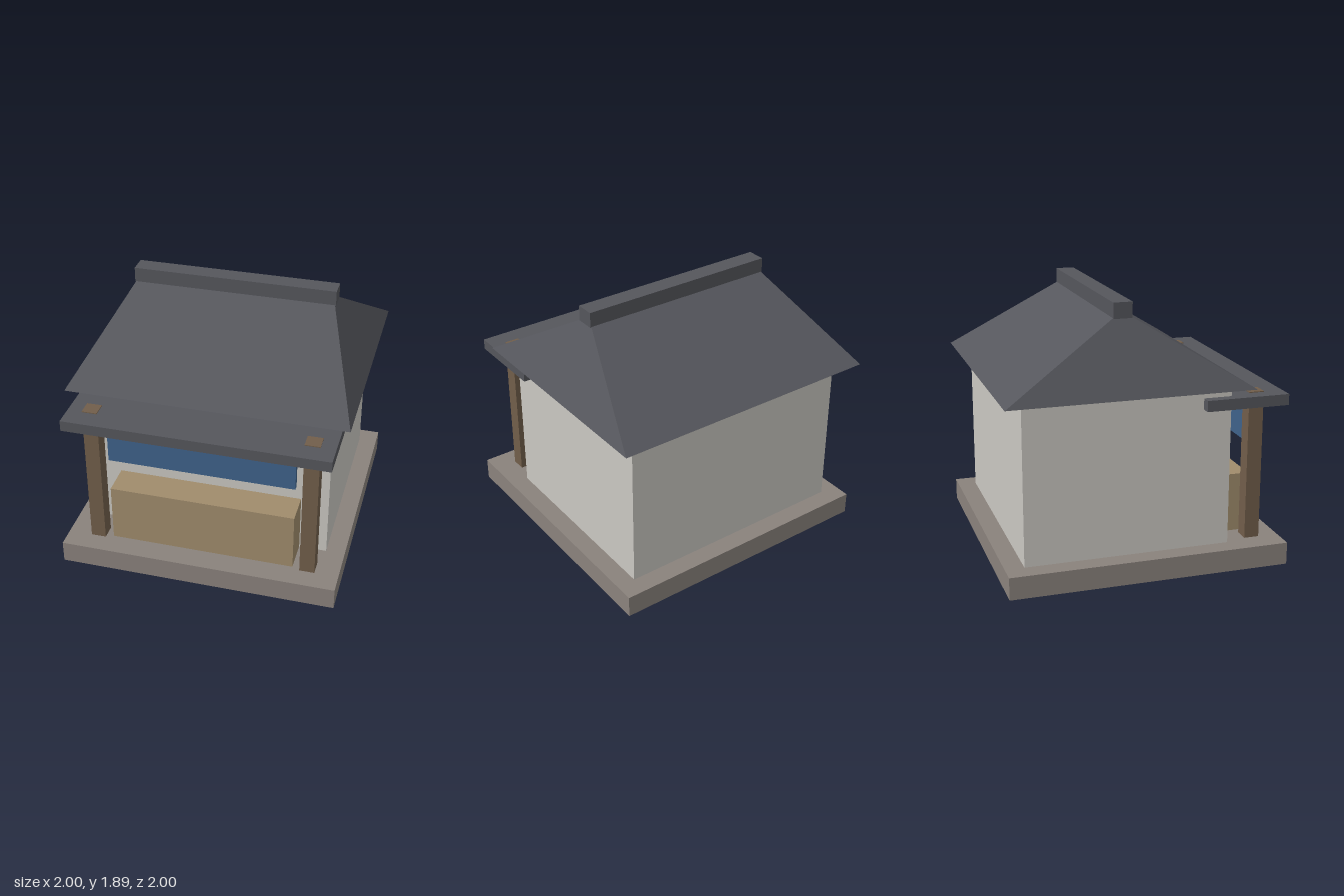
import * as THREE from 'three';

const material = (color) => new THREE.MeshStandardMaterial({ color, flatShading: true });

export function createModel() {
  const model = new THREE.Group();
  model.name = 'marketStall';

  const stone = material(0x8a827c);
  const plaster = material(0xcac8c2);
  const slate = material(0x55565c);
  const timber = material(0x715e4a);
  const plank = material(0xa08c6c);
  const cloth = material(0x3f628a);

  // Box given by its extents along each axis
  function block(name, mat, [x0, x1], [y0, y1], [z0, z1]) {
    const mesh = new THREE.Mesh(new THREE.BoxGeometry(x1 - x0, y1 - y0, z1 - z0), mat);
    mesh.position.set((x0 + x1) / 2, (y0 + y1) / 2, (z0 + z1) / 2);
    mesh.name = name;
    model.add(mesh);
    return mesh;
  }

  block('foundation', stone, [-1, 1], [0, 0.16], [-1, 1]);
  block('walls', plaster, [-0.865, 0.865], [0.16, 1.3], [-0.865, 0.6]);

  // Hipped roof: a box whose top face is drawn in to the ridge
  const roof = block('roof', slate, [-1, 1], [1.3, 1.79], [-1, 0.73]);
  const points = roof.geometry.attributes.position;
  for (let i = 0; i < points.count; i++) {
    if (points.getY(i) > 0) {
      points.setX(i, Math.sign(points.getX(i)) * 0.725);
      points.setZ(i, Math.sign(points.getZ(i)) * 0.067);
    }
  }
  roof.geometry.computeVertexNormals();
  block('ridgeBeam', slate, [-0.732, 0.732], [1.785, 1.895], [-0.202, -0.068]);

  // Shop front
  block('canopy', slate, [-0.933, 0.933], [1.152, 1.23], [0.4, 0.997]);
  block('counter', plank, [-0.667, 0.667], [0.16, 0.59], [0.6, 0.83]);
  block('curtain', cloth, [-0.667, 0.667], [0.84, 1.16], [0.79, 0.83]);

  // Posts pass just through the canopy
  for (const [side, x] of [['left', 0.775], ['right', -0.775]]) {
    block(side + 'Post', timber, [x - 0.054, x + 0.054], [0.16, 1.236], [0.747, 0.855]);
  }

  return model;
}
